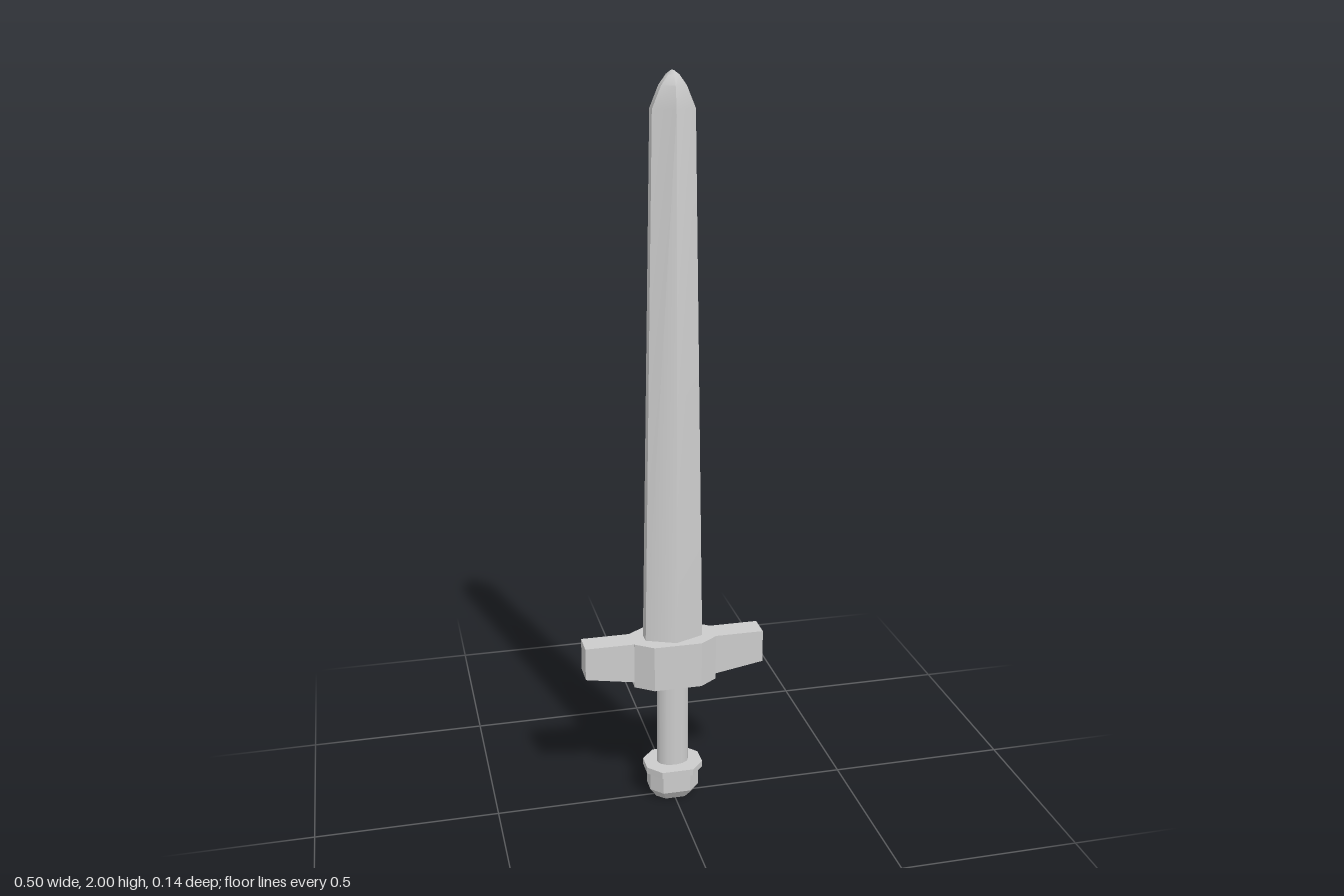
import * as THREE from 'three';
import { toCreasedNormals } from 'three/addons/utils/BufferGeometryUtils.js';

const material = new THREE.MeshStandardMaterial({ color: 0xcccccc });

// Skin a stack of horizontal rings (bottom to top), with both ends capped.
// Ring corners run from +z towards +x.
function loft(rings, crease) {
  const n = rings[0].length, pos = [], idx = [];
  rings.forEach(r => r.forEach(p => pos.push(...p)));
  for (let i = 0; i < rings.length - 1; i++) {
    for (let j = 0; j < n; j++) {
      const a = i * n + j, b = i * n + (j + 1) % n;
      idx.push(a, b, b + n, a, b + n, a + n);
    }
  }
  const top = (rings.length - 1) * n;
  for (let j = 1; j < n - 1; j++) {
    idx.push(0, j + 1, j, top, top + j, top + j + 1);
  }
  const g = new THREE.BufferGeometry();
  g.setAttribute('position', new THREE.Float32BufferAttribute(pos, 3));
  g.setIndex(idx);
  return toCreasedNormals(g, crease);
}

// Flat-ended extrusion centred on its depth
function slab(points, depth) {
  const shape = new THREE.Shape(points.map(p => new THREE.Vector2(...p)));
  return new THREE.ExtrudeGeometry(shape, { depth, bevelEnabled: false }).translate(0, 0, -depth / 2);
}

// Six-sided blade section: a ridge on each face, a narrow flat on each edge
const bladeRing = ([y, w, edge, ridge]) => [
  [0, y, ridge], [w, y, edge], [w, y, -edge], [0, y, -ridge], [-w, y, -edge], [-w, y, edge],
];

// Chamfered rectangle section for the pommel
const pommelRing = ([y, x, z]) => {
  const cx = x * 0.55, cz = z * 0.4;
  return [[cx, y, z], [x, y, cz], [x, y, -cz], [cx, y, -z],
    [-cx, y, -z], [-x, y, -cz], [-x, y, cz], [-cx, y, z]];
};

export function createModel() {
  const sword = new THREE.Group();
  sword.name = 'sword';
  const add = (name, geometry) => {
    const mesh = new THREE.Mesh(geometry, material);
    mesh.name = name;
    sword.add(mesh);
    return mesh;
  };

  // Blade: [height, half width, half edge thickness, half ridge thickness]
  add('blade', loft([
    [0.48, 0.08, 0.018, 0.052],
    [1.91, 0.055, 0.015, 0.044],
    [1.965, 0.032, 0.015, 0.033],
    [1.99, 0.014, 0.013, 0.02],
    [2.0, 0.001, 0.011, 0.012],
  ].map(bladeRing), 0.9));

  // Guard centre: chamfered block
  const plan = [[0.115, -0.034], [0.115, 0.034], [0.066, 0.069], [-0.066, 0.069],
    [-0.115, 0.034], [-0.115, -0.034], [-0.066, -0.069], [0.066, -0.069]];
  add('guardCentre', slab(plan, 0.13).rotateX(-Math.PI / 2).translate(0, 0.43, 0));

  // Guard arms, tapering outwards on the underside
  for (const [name, s] of [['leftGuardArm', 1], ['rightGuardArm', -1]]) {
    const arm = [[0.114, 0.38], [0.25, 0.403], [0.25, 0.495], [0.114, 0.495]];
    add(name, slab(arm.map(([x, y]) => [s * x, y]), 0.067));
  }

  // Grip: oval bar
  const grip = new THREE.CylinderGeometry(1, 1, 0.28, 12, 1, true);
  add('grip', grip.scale(0.045, 1, 0.03).translate(0, 0.235, 0));

  // Pommel with a thin collar above it
  add('pommelCollar', loft([[0.085, 0.08, 0.066], [0.104, 0.08, 0.066]].map(pommelRing), 0.3));
  add('pommel', loft([
    [0, 0.05, 0.034], [0.03, 0.07, 0.055], [0.086, 0.07, 0.055],
  ].map(pommelRing), 0.3));

  return sword;
}
